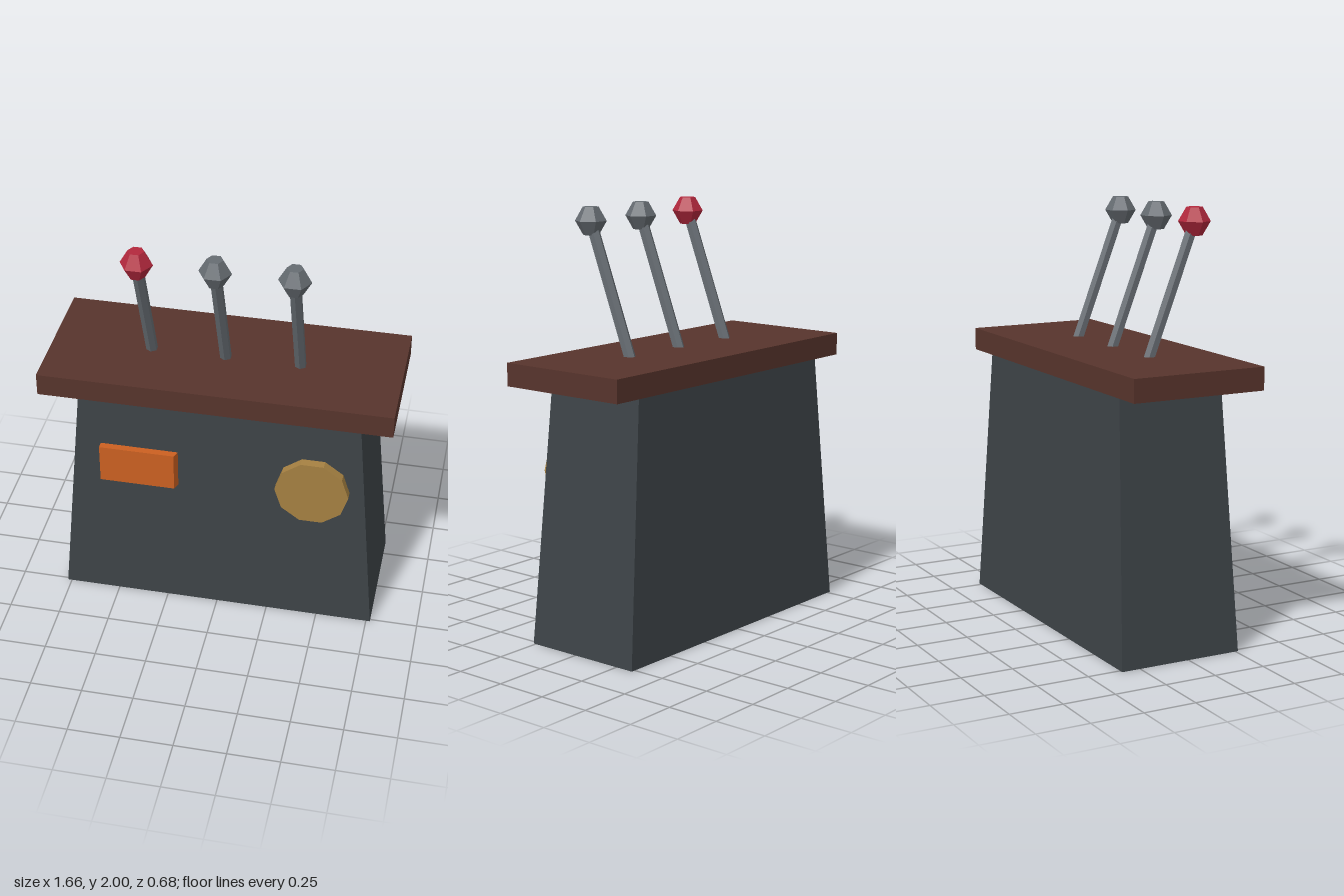
import * as THREE from 'three';

const mat = (name, color) => Object.assign(new THREE.MeshStandardMaterial({ color, flatShading: true }), { name });

export function createModel() {
  const slate = mat('slate', 0x3d4347);
  const brown = mat('brown', 0x57342c);
  const orange = mat('orange', 0xcb6021);
  const gold = mat('gold', 0xa68142);
  const red = mat('red', 0xb3283d);
  const grey = mat('grey', 0x666c72);

  const model = new THREE.Group();
  model.name = 'leverConsole';
  const add = (name, geometry, material, x, y, z) => {
    const mesh = new THREE.Mesh(geometry, material);
    mesh.name = name;
    mesh.position.set(x, y, z);
    model.add(mesh);
    return mesh;
  };

  // Pedestal: a box narrowed towards the top
  const bodyGeo = new THREE.BoxGeometry(1.54, 1.22, 0.604);
  const p = bodyGeo.attributes.position;
  for (let i = 0; i < p.count; i++) {
    if (p.getY(i) > 0) {
      p.setX(i, p.getX(i) * 0.862);
      p.setZ(i, p.getZ(i) * 0.862);
    }
  }
  bodyGeo.computeVertexNormals();
  add('pedestal', bodyGeo, slate, 0, 0.61, -0.039);

  // Overhanging top slab
  add('topSlab', new THREE.BoxGeometry(1.656, 0.108, 0.66), brown, 0, 1.271, 0.013);

  // Front plate with a slanted right end
  const plateGeo = new THREE.BoxGeometry(0.375, 0.195, 0.035);
  const q = plateGeo.attributes.position;
  for (let i = 0; i < q.count; i++) {
    if (q.getX(i) > 0 && q.getZ(i) > 0) q.setX(i, q.getX(i) - 0.013);
  }
  plateGeo.computeVertexNormals();
  add('frontPlate', plateGeo, orange, -0.378, 0.797, 0.26);

  // Ten-sided dial
  const dialGeo = new THREE.CylinderGeometry(0.175, 0.175, 0.043, 10, 1, false, Math.PI / 2);
  add('dial', dialGeo.rotateX(Math.PI / 2), gold, 0.461, 0.797, 0.283);

  // Three tilted levers with faceted knobs
  const base = new THREE.Vector3(0, 1.3, 0.016);
  const tip = new THREE.Vector3(0, 1.935, 0.258);
  const axis = tip.clone().sub(base);
  const rodGeo = new THREE.CylinderGeometry(0.028, 0.028, axis.length(), 6);
  rodGeo.rotateX(Math.atan2(axis.z, axis.y));
  const mid = base.clone().add(tip).multiplyScalar(0.5);
  const knobProfile = [[0, -0.065], [0.0375, -0.065], [0.075, 0], [0.0375, 0.065], [0, 0.065]]
    .map(([r, y]) => new THREE.Vector2(r, y));
  const knobGeo = new THREE.LatheGeometry(knobProfile, 6, Math.PI / 6);
  [['right', -0.355, red], ['middle', -0.002, grey], ['left', 0.351, grey]].forEach(([side, x, knobMat]) => {
    add(side + 'LeverRod', rodGeo, grey, x, mid.y, mid.z);
    add(side + 'LeverKnob', knobGeo, knobMat, x, tip.y, tip.z);
  });

  return model;
}
